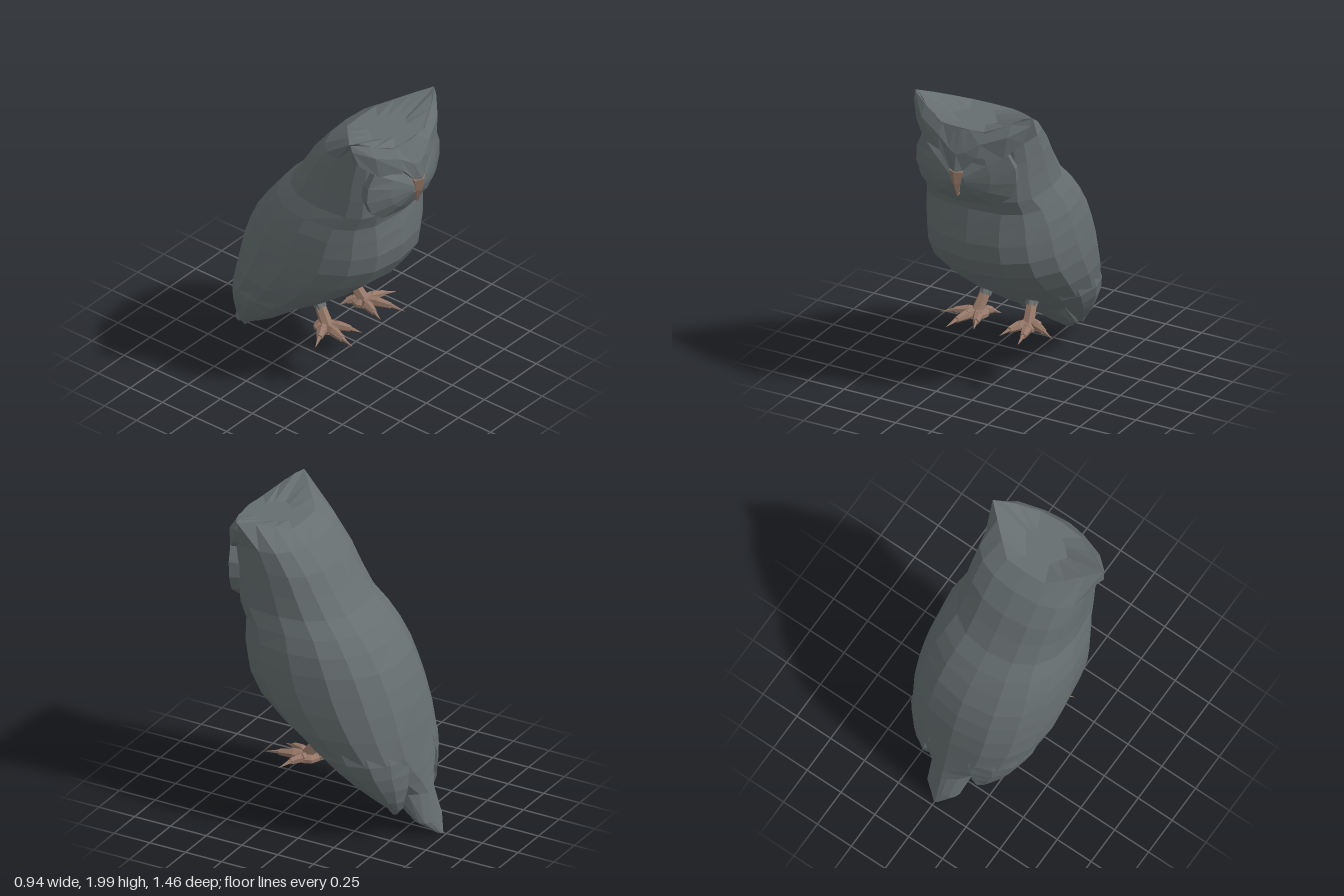
import * as THREE from 'three';

const mat = (name, color) => {
  const m = new THREE.MeshStandardMaterial({ color, flatShading: true });
  m.name = name;
  return m;
};

// Skin a list of closed rings of [x, y, z] points and fan both ends shut
function loft(rings) {
  const n = rings[0].length, pos = rings.flat(2), idx = [];
  rings.slice(1).forEach((_, r) => {
    for (let i = 0; i < n; i++) {
      const a = r * n + i, b = r * n + (i + 1) % n;
      idx.push(a, b, a + n, b, b + n, a + n);
    }
  });
  [0, rings.length - 1].forEach((r, end) => {
    const c = pos.length / 3;
    for (let k = 0; k < 3; k++) pos.push(rings[r].reduce((s, p) => s + p[k], 0) / n);
    for (let i = 0; i < n; i++) {
      const a = r * n + i, b = r * n + (i + 1) % n;
      if (end) idx.push(a, b, c); else idx.push(b, a, c);
    }
  });
  // Turn the faces outward when the enclosed volume comes out negative
  const v = (i) => new THREE.Vector3().fromArray(pos, i * 3);
  let vol = 0;
  for (let i = 0; i < idx.length; i += 3) vol += v(idx[i]).dot(v(idx[i + 1]).cross(v(idx[i + 2])));
  if (vol < 0) idx.reverse();
  const g = new THREE.BufferGeometry();
  g.setAttribute('position', new THREE.Float32BufferAttribute(pos, 3));
  g.setIndex(idx);
  const flat = g.toNonIndexed();
  flat.computeVertexNormals();
  return flat;
}

// Complete a half ring (first and last points on the midline) by mirroring
const mirror = (half) => [...half, ...half.slice(1, -1).reverse().map(([x, y, z]) => [-x, y, z])];

// Point on a horizontal section; t runs from front (0) to back (PI).
// The exponents square off (low) or sharpen (high) the front and back halves.
function section([y, hx, zf, zb, front = 0.85, back = 0.85], t, k = 1) {
  const c = Math.cos(t), s = Math.max(0, Math.sin(t)), e = c > 0 ? front : back;
  const depth = Math.sign(c) * Math.abs(c) ** Math.min(e, 0.9);
  return [hx * k * s ** e, y, (zf + zb) / 2 + k * (zf - zb) / 2 * depth];
}
const fullRing = (sec) => mirror(Array.from({ length: 9 }, (_, i) => section(sec, i * Math.PI / 8)));

export function createModel() {
  const owl = new THREE.Group();
  owl.name = 'owl';
  const plumage = mat('greyPlumage', 0x666e70);
  const horn = mat('brownHorn', 0x967868);
  const add = (parent, name, geo, m) => {
    const mesh = new THREE.Mesh(geo, m);
    mesh.name = name;
    parent.add(mesh);
    return mesh;
  };

  // Dished crown with two raised ear tufts, then head, torso and tail:
  // [y, half width, front z, back z, front exponent, back exponent]
  const crown = mirror([
    [0, 1.9, 0.63], [0.15, 1.9, 0.62], [0.27, 1.945, 0.565], [0.35, 1.99, 0.51], [0.41, 2, 0.48],
    [0.32, 1.97, 0.4], [0.23, 1.935, 0.32], [0.14, 1.9, 0.245], [0, 1.9, 0.24],
  ]);
  const dish = crown.map(([x, , z]) => [x * 0.38, 1.9, 0.44 + (z - 0.44) * 0.6]);
  const torso = [
    [1.82, 0.37, 0.58, 0.12, 0.5], [1.68, 0.375, 0.57, 0, 0.5], [1.55, 0.378, 0.57, -0.08, 0.5],
    [1.42, 0.388, 0.57, -0.17, 0.55], [1.32, 0.42, 0.545, -0.27, 0.7], [1.22, 0.448, 0.56, -0.35, 0.8],
    [1.1, 0.465, 0.57, -0.43], [0.98, 0.472, 0.55, -0.485], [0.85, 0.472, 0.47, -0.53],
    [0.7, 0.457, 0.3, -0.565], [0.55, 0.415, 0.1, -0.592], [0.45, 0.34, -0.05, -0.615, 0.85, 1],
    [0.36, 0.24, -0.18, -0.635, 0.85, 1.3], [0.28, 0.145, -0.31, -0.655, 0.85, 1.5],
    [0.1, 0.115, -0.55, -0.7, 0.85, 1.5], [0.01, 0.02, -0.68, -0.724],
  ];
  add(owl, 'body', loft([dish, crown, ...torso.map(fullRing)]), plumage);

  // Facial disc: a shallow dome with a rim
  const rim = [
    [0, 1.385, 0.6], [0.21, 1.405, 0.585], [0.31, 1.48, 0.575], [0.35, 1.58, 0.57],
    [0.345, 1.68, 0.575], [0.3, 1.77, 0.59], [0.15, 1.77, 0.63], [0, 1.75, 0.66],
  ];
  const shrink = (k, z) => mirror(rim.map(([x, y]) => [x * k, 1.57 + (y - 1.57) * k, z]));
  add(owl, 'facialDisc', loft([shrink(0.9, 0.48), mirror(rim), shrink(0.6, 0.645), shrink(0.15, 0.69)]), plumage);

  // Brow: [x, top y, top z, fold y, fold z, bottom y, bottom z], swept across both sides
  const brow = [
    [0.405, 1.995, 0.485, 1.95, 0.5, 1.84, 0.53], [0.3, 1.96, 0.55, 1.89, 0.595, 1.745, 0.605],
    [0.14, 1.9, 0.615, 1.83, 0.66, 1.745, 0.68], [0.05, 1.9, 0.63, 1.77, 0.69, 1.65, 0.7],
    [0, 1.9, 0.635, 1.75, 0.7, 1.64, 0.722],
  ];
  const browRing = (s) => ([x, ty, tz, fy, fz, by, bz]) => [
    [s * x, ty, tz], [s * x, fy, fz], [s * x * 0.92, by, bz],
    [s * x * 0.85, by, bz - 0.1], [s * x * 0.9, ty - 0.03, tz - 0.04],
  ];
  add(owl, 'brow', loft([...brow.map(browRing(1)), ...brow.slice(0, -1).reverse().map(browRing(-1))]), plumage);

  // Beak
  add(owl, 'beak', loft([
    mirror([[0, 1.645, 0.732], [0.05, 1.64, 0.7], [0, 1.64, 0.6]]),
    mirror([[0, 1.56, 0.72], [0.03, 1.56, 0.695], [0, 1.56, 0.6]]),
    mirror([[0, 1.465, 0.685], [0.004, 1.465, 0.677], [0, 1.465, 0.64]]),
  ]), horn);

  // Folded wing ends: the outer skin of each section between two angles, [section, scale, start, end]
  const wing = [
    [[0.63, 0.44, 0.2, -0.578], 0.97, 0.9, 2.85],
    [[0.54, 0.417, 0.085, -0.59], 1.008, 0.85, 2.85], [[0.45, 0.385, -0.04, -0.6], 1.008, 0.85, 2.75],
    [[0.36, 0.335, -0.16, -0.605], 1.01, 0.9, 2.65], [[0.27, 0.275, -0.3, -0.6], 1.01, 1, 2.4],
    [[0.21, 0.232, -0.41, -0.58], 1, 1.1, 2.2], [[0.17, 0.21, -0.46, -0.54], 1, 1.4, 1.9],
  ];
  const wingRing = (s) => ([sec, k, t0, t1]) => {
    const arc = (n, scale) => Array.from({ length: n }, (_, i) => {
      const [x, y, z] = section(sec, t0 + (t1 - t0) * i / (n - 1), scale);
      return [s * x, y, z];
    });
    return [...arc(6, k), ...arc(4, k * 0.84).reverse()];
  };

  // Tapered segment between two points
  const limb = (parent, name, a, b, r0, r1, m, sides = 6) => {
    const p = new THREE.Vector3(...a), d = new THREE.Vector3(...b).sub(p);
    const mesh = add(parent, name, new THREE.CylinderGeometry(r1, r0, d.length(), sides), m);
    mesh.position.copy(p).addScaledVector(d, 0.5);
    mesh.quaternion.setFromUnitVectors(new THREE.Vector3(0, 1, 0), d.normalize());
  };

  // Toes: [knuckle, toe end, claw tip]
  const toes = [
    [[0.24, 0.408, 0.13], [0.31, 0.405, 0.165], [0.39, 0.388, 0.2]],
    [[0.21, 0.408, 0.2], [0.232, 0.405, 0.285], [0.25, 0.393, 0.38]],
    [[0.14, 0.408, 0.18], [0.115, 0.405, 0.25], [0.09, 0.39, 0.32]],
    [[0.15, 0.398, 0.06], [0.12, 0.39, 0.03], [0.075, 0.37, 0.005]],
  ];
  for (const s of [1, -1]) {
    const side = s > 0 ? 'left' : 'right';
    add(owl, side + 'Wing', loft(wing.map(wingRing(s))), plumage);
    const leg = new THREE.Group();
    leg.name = side + 'Leg';
    owl.add(leg);
    const at = ([x, y, z]) => [s * x, y, z];
    limb(leg, 'legCuff', at([0.16, 0.58, 0]), at([0.16, 0.5, 0.06]), 0.045, 0.038, plumage);
    limb(leg, 'shank', at([0.16, 0.52, 0.045]), at([0.18, 0.4, 0.125]), 0.035, 0.04, horn);
    const pad = add(leg, 'footPad', new THREE.SphereGeometry(1, 8, 5), horn);
    pad.scale.set(0.078, 0.034, 0.085);
    pad.position.set(s * 0.18, 0.395, 0.115);
    for (const [knuckle, end, tip] of toes) {
      limb(leg, 'toeBase', at([0.18, 0.4, 0.11]), at(knuckle), 0.03, 0.032, horn);
      limb(leg, 'toe', at(knuckle), at(end), 0.032, 0.02, horn);
      limb(leg, 'claw', at(end), at(tip), 0.014, 0.001, horn, 5);
    }
  }
  return owl;
}
